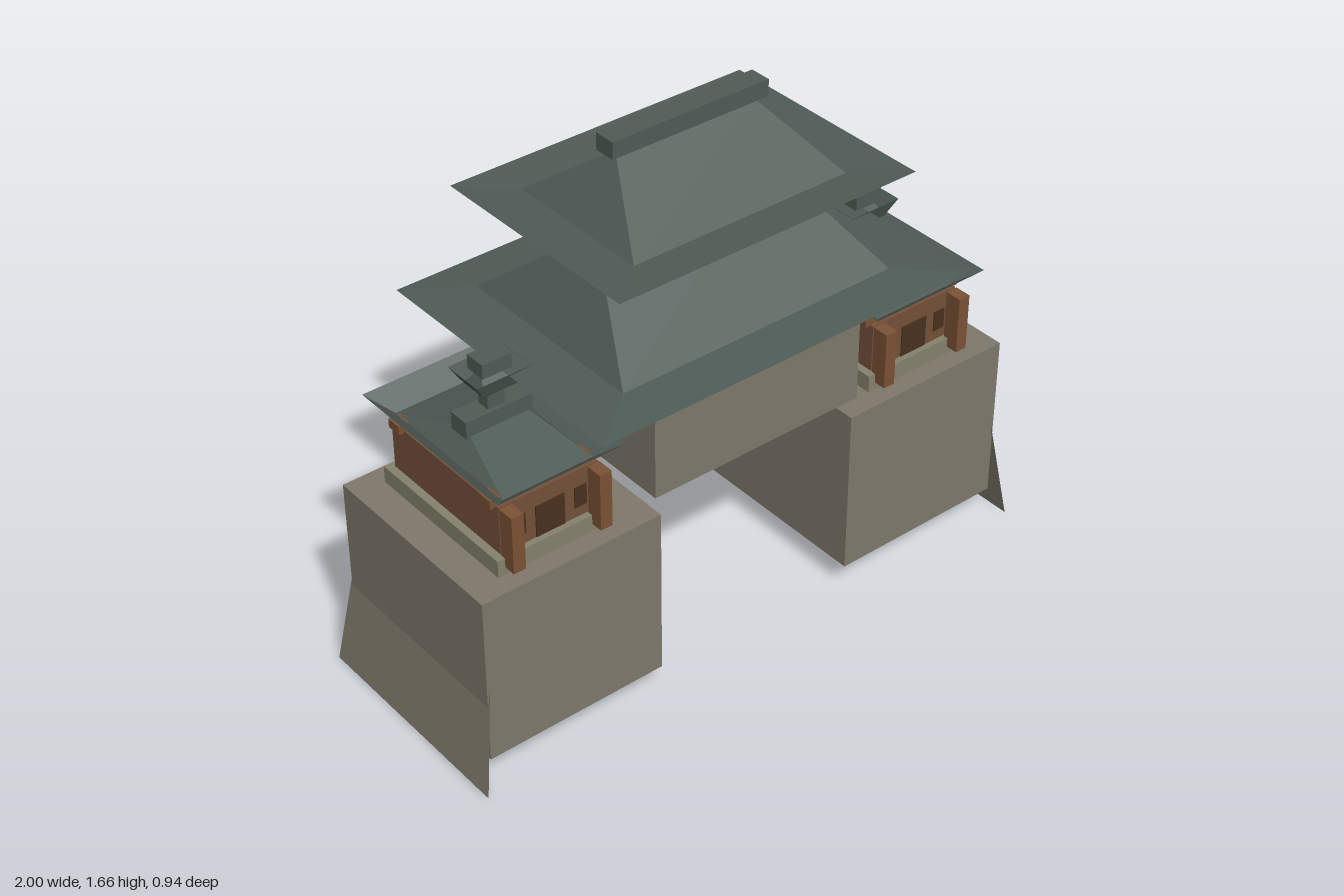
import * as THREE from 'three';

const mat = (name, color, side = THREE.FrontSide) =>
  Object.assign(new THREE.MeshStandardMaterial({ color, side }), { name });

export function createModel() {
  const model = new THREE.Group();
  model.name = 'gatehouse';
  const stone = mat('stone', 0x807a6c, THREE.DoubleSide);
  const plinthStone = mat('plinth stone', 0x86826f);
  const tile = mat('roof tile', 0x505c57, THREE.DoubleSide);
  const wood = mat('wall wood', 0x75523a);
  const postWood = mat('post wood', 0x7c5335);
  const darkWood = mat('dark wood', 0x4a3220);

  const add = (parent, name, geometry, material) => {
    const mesh = new THREE.Mesh(geometry, material);
    mesh.name = name;
    parent.add(mesh);
    return mesh;
  };

  // Box given by its half width, bottom, top, half depth and centre
  const box = (parent, name, material, hx, y0, y1, hz, x = 0, z = 0) => {
    const g = new THREE.BoxGeometry(hx * 2, y1 - y0, hz * 2);
    g.translate(x, (y0 + y1) / 2, z);
    return add(parent, name, g, material);
  };

  // Masonry shell without a bottom face
  const shell = (parent, name, ...size) => {
    const mesh = box(parent, name, stone, ...size);
    const index = Array.from(mesh.geometry.index.array);
    index.splice(18, 6);
    mesh.geometry.clearGroups();
    mesh.geometry.setIndex(index);
  };

  // Flat-shaded surface through successive rectangles [halfX, y, halfZ]
  const rings = (parent, name, material, levels) => {
    const corners = ([x, y, z]) => [[-x, y, z], [x, y, z], [x, y, -z], [-x, y, -z]];
    const pos = [];
    for (let i = 0; i < levels.length - 1; i++) {
      const lo = corners(levels[i]), hi = corners(levels[i + 1]);
      for (let k = 0; k < 4; k++) {
        const n = (k + 1) % 4;
        pos.push(...lo[k], ...lo[n], ...hi[n], ...lo[k], ...hi[n], ...hi[k]);
      }
    }
    const g = new THREE.BufferGeometry();
    g.setAttribute('position', new THREE.Float32BufferAttribute(pos, 3));
    g.computeVertexNormals();
    return add(parent, name, g, material);
  };

  // Gate span and its two stacked hipped roofs with ridge beams
  shell(model, 'gateSpan', 0.371, 0.71, 1.02, 0.332);
  rings(model, 'lowerRoof', tile, [[0.65, 1.098, 0.47], [0.475, 1.11, 0.33], [0.305, 1.378, 0.001]]);
  box(model, 'lowerRidge', tile, 0.34, 1.375, 1.42, 0.035);
  rings(model, 'upperRoof', tile, [[0.515, 1.431, 0.373], [0.37, 1.424, 0.248], [0.235, 1.607, 0.001]]);
  box(model, 'upperRidge', tile, 0.27, 1.607, 1.66, 0.035);

  for (const side of [-1, 1]) {
    // Stone tower
    const tower = new THREE.Group();
    tower.name = side > 0 ? 'leftTower' : 'rightTower';
    model.add(tower);
    shell(tower, 'towerBase', 0.302, 0.09, 0.645, 0.333, side * 0.655);

    // Sloping outer wall, flaring toward the ground
    const slope = new THREE.PlaneGeometry(1, 1);
    const p = slope.attributes.position;
    for (let i = 0; i < 4; i++) {
      const top = p.getY(i) > 0;
      const z = -side * Math.sign(p.getX(i)) * (top ? 0.298 : 0.375);
      p.setXYZ(i, side * (top ? 0.902 : 1), top ? 0.64 : 0, z);
    }
    slope.computeVertexNormals();
    add(tower, 'slopingWall', slope, stone);

    // Small guard house
    const house = new THREE.Group();
    house.name = 'guardHouse';
    house.position.x = side * 0.668;
    tower.add(house);
    box(house, 'plinth', plinthStone, 0.19, 0.645, 0.7, 0.27);
    box(house, 'walls', wood, 0.165, 0.7, 0.857, 0.25);
    box(house, 'door', darkWood, 0.048, 0.702, 0.805, 0.004, 0, 0.25);
    for (const s of [-1, 1]) {
      box(house, 'window', darkWood, 0.02, 0.735, 0.802, 0.004, s * 0.102, 0.25);
      box(house, 'porchPost', postWood, 0.02, 0.67, 0.857, 0.027, s * 0.146, 0.282);
      for (const t of [-1, 1])
        box(house, 'bracket', postWood, 0.033, 0.852, 0.88, 0.025, s * 0.15, t * 0.212);
    }

    // Upswept eaves, ridge and finial
    rings(house, 'houseRoof', tile, [[0.212, 0.93, 0.316], [0.15, 0.876, 0.25], [0.09, 0.945, 0.002]]);
    box(house, 'houseRidge', tile, 0.11, 0.93, 0.985, 0.035);
    box(house, 'finialPost', tile, 0.028, 0.98, 1.06, 0.022);
    rings(house, 'finialRoof', tile, [[0.09, 1.105, 0.067], [0.056, 1.05, 0.046], [0.03, 1.11, 0.002]]);
    box(house, 'finialCap', tile, 0.048, 1.1, 1.145, 0.035);
  }
  return model;
}
